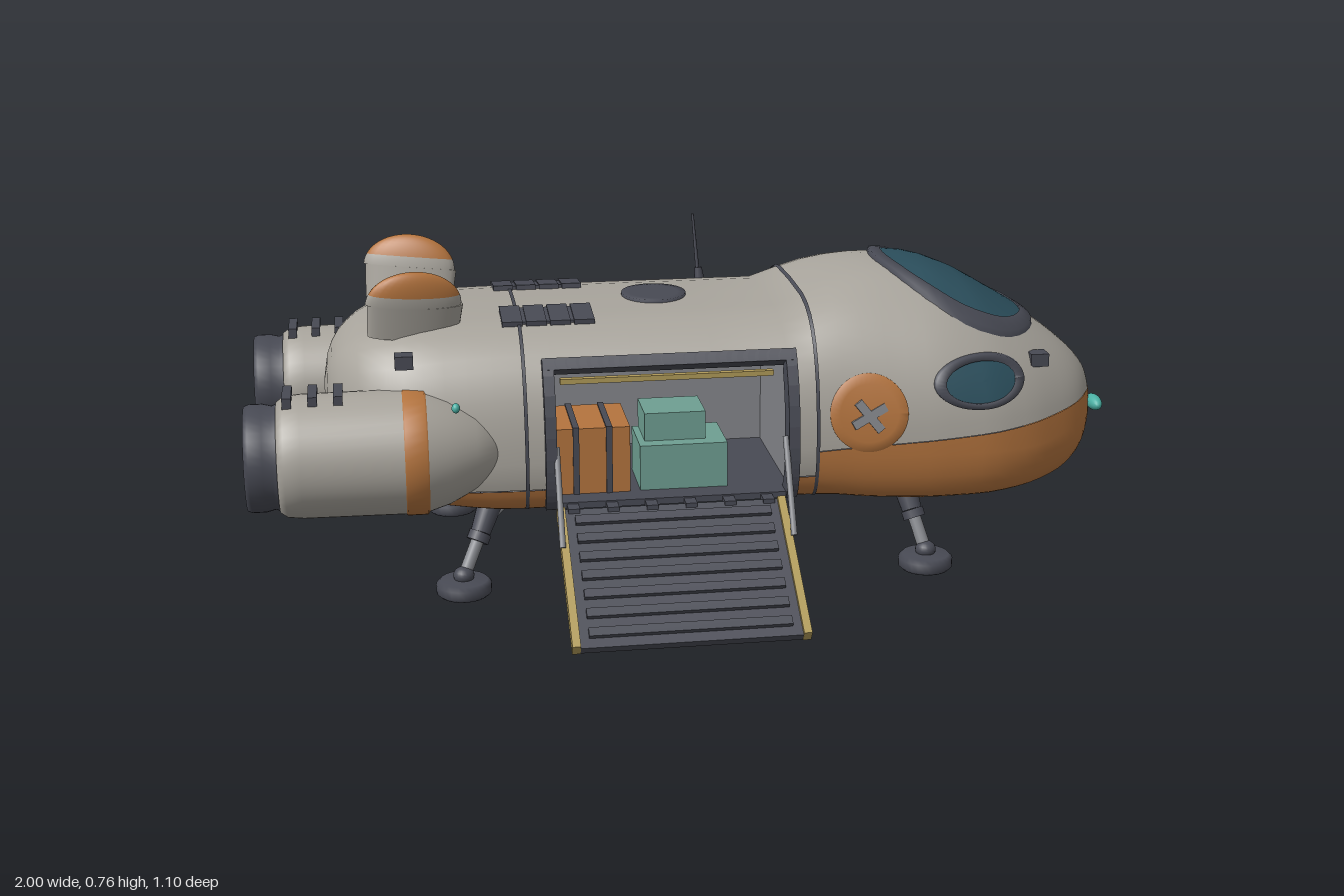
import * as THREE from 'three';

const mat = (color) => new THREE.MeshStandardMaterial({ color, side: THREE.DoubleSide });
const HULL = mat(0xa8a49c), ORANGE = mat(0xb4743e), DARK = mat(0x484a54), GLASS = mat(0x2c505e),
  TEAL = mat(0x4bb0a4), GOLD = mat(0xb09a58), STEEL = mat(0x85878c), CRATE = mat(0x6f9f92);
const ZC = -0.12; // hull centre line
const { lerp, clamp, smoothstep } = THREE.MathUtils;

// Hull stations: x, bottom, top, half width
const STATIONS = [
  [-0.83, 0.42, 0.435, 0.008], [-0.82, 0.35, 0.49, 0.12], [-0.79, 0.29, 0.54, 0.205], [-0.72, 0.25, 0.585, 0.285],
  [-0.6, 0.22, 0.607, 0.332], [-0.4, 0.2, 0.61, 0.345], [0.2, 0.2, 0.61, 0.345], [0.3, 0.197, 0.65, 0.347],
  [0.4, 0.188, 0.676, 0.356], [0.46, 0.185, 0.682, 0.361], [0.55, 0.183, 0.675, 0.368], [0.65, 0.184, 0.643, 0.366],
  [0.75, 0.19, 0.588, 0.342], [0.85, 0.205, 0.527, 0.285], [0.92, 0.235, 0.475, 0.22], [0.97, 0.28, 0.425, 0.13],
  [0.985, 0.31, 0.4, 0.075], [0.99, 0.345, 0.365, 0.012]];

function station(x) {
  const n = STATIONS.length;
  let i = 0;
  while (i < n - 2 && x > STATIONS[i + 1][0]) i++;
  const P = STATIONS[i], Q = STATIONS[i + 1], h = Q[0] - P[0], s = clamp((x - P[0]) / h, 0, 1);
  const slope = (k, c) => {
    const a = STATIONS[Math.max(k - 1, 0)], b = STATIONS[k], d = STATIONS[Math.min(k + 1, n - 1)];
    const l = a === b ? null : (b[c] - a[c]) / (b[0] - a[0]), r = d === b ? null : (d[c] - b[c]) / (d[0] - b[0]);
    if (l === null) return r;
    if (r === null) return l;
    return l * r <= 0 ? 0 : 2 * l * r / (l + r);
  };
  return [1, 2, 3].map((c) => P[c] * (1 + 2 * s) * (1 - s) ** 2 + Q[c] * s * s * (3 - 2 * s)
    + h * (slope(i, c) * s * (1 - s) ** 2 + slope(i + 1, c) * s * s * (s - 1)));
}

// Cross-section: t = -1 at the belly edge, 0 at the widest point, 1 on the ridge.
// The cargo section has squarer shoulders than the nose.
const roundness = (x) => lerp(0.47, 0.8, smoothstep(x, 0.22, 0.5));
const profile = (x, t) => t >= 0
  ? [Math.max(Math.cos(t * Math.PI / 2), 0) ** roundness(x), 0.3 + 0.7 * Math.sin(t * Math.PI / 2)]
  : [0.74 + 0.26 * Math.max(Math.cos(t * Math.PI / 2), 0) ** 0.6, 0.3 + 0.3 * Math.sin(t * Math.PI / 2)];
const tOf = (v) => (v > 0.3 ? Math.asin(Math.min((v - 0.3) / 0.7, 1)) : -Math.asin(Math.min((0.3 - v) / 0.3, 1))) * 2 / Math.PI;
function hullPoint(x, t, side, grow = 0) {
  const [b, top, hw] = station(x), [w, v] = profile(x, t);
  return [x, lerp(b, top, v) + grow * (v - 0.3), ZC + side * w * (hw + grow)];
}
function sideZ(x, y) { // half width at a height
  const [b, top, hw] = station(x);
  return hw * profile(x, tOf(clamp((y - b) / (top - b), 0, 1)))[0];
}
function roofY(x, dz) { // roof height at an offset from the centre line
  const [b, top, hw] = station(x), c = Math.min(Math.abs(dz) / hw, 1) ** (1 / roundness(x));
  return lerp(b, top, 0.3 + 0.7 * Math.sqrt(1 - c * c));
}
function beltT(x) { // top edge of the coloured belt
  const [b, top] = station(x);
  const y = x < 0.265 ? 0.26 : lerp(0.32, 0.374, (x - 0.265) / 0.72);
  return tOf(clamp((y - b) / (top - b), 0.08, 0.6));
}

function grid(nu, nv, fn, skip = () => false) {
  const pos = [], idx = [];
  for (let i = 0; i <= nu; i++) for (let j = 0; j <= nv; j++) pos.push(...fn(i, j));
  for (let i = 0; i < nu; i++) for (let j = 0; j < nv; j++) {
    if (skip(i, j)) continue;
    const a = i * (nv + 1) + j, b = a + nv + 1;
    idx.push(a, b, a + 1, b, b + 1, a + 1);
  }
  const g = new THREE.BufferGeometry();
  g.setAttribute('position', new THREE.Float32BufferAttribute(pos, 3));
  g.setIndex(idx);
  g.computeVertexNormals();
  return g;
}

export function createModel() {
  const root = new THREE.Group();
  const add = (name, geo, material, p = [0, 0, 0], parent = root) => {
    const m = new THREE.Mesh(geo, material);
    m.name = name;
    m.position.set(...p);
    parent.add(m);
    return m;
  };
  const box = (name, s, p, material, parent) => add(name, new THREE.BoxGeometry(...s), material, p, parent);
  const rod = (name, a, b, r0, r1, material) => {
    const A = new THREE.Vector3(...a), d = new THREE.Vector3(...b).sub(A);
    const m = add(name, new THREE.CylinderGeometry(r1, r0, d.length(), 14), material, A.clone().addScaledVector(d, 0.5).toArray());
    m.quaternion.setFromUnitVectors(new THREE.Vector3(0, 1, 0), d.normalize());
  };
  const ball = (name, p, s, material) => add(name, new THREE.SphereGeometry(1, 20, 12), material, p).scale.set(...s);

  // Hull shell with a doorway left open on the +z side
  const xs = [];
  for (let k = 0; k < 14; k++) xs.push(-0.83 + 0.43 * (k / 14) ** 2);
  xs.push(-0.4, -0.33, -0.15, 0.03, 0.2, 0.264, 0.266);
  for (let k = 1; k <= 26; k++) xs.push(0.99 - 0.724 * (1 - k / 26) ** 2);
  const nx = xs.length - 1, inDoor = (i) => xs[i] >= -0.331 && xs[i + 1] <= 0.201;
  add('upperHull', grid(nx, 32, (i, j) => {
    const s = 1 - Math.abs(j - 16) / 16;
    return hullPoint(xs[i], lerp(beltT(xs[i]), 1, s), j <= 16 ? 1 : -1);
  }, (i, j) => inDoor(i) && j < 10), HULL);
  for (const side of [1, -1]) add('hullBelt', grid(nx, 8, (i, j) =>
    hullPoint(xs[i], lerp(-1, beltT(xs[i]), side > 0 ? j / 8 : 1 - j / 8), side, 0.003),
  (i) => side > 0 && inDoor(i)), ORANGE);
  const underside = (i, j) => hullPoint(xs[i], -1, j - 1, 0.003).map((c, k) => (k === 2 && j === 1 ? ZC : c));
  add('belly', grid(nx, 2, underside, (i) => xs[i] > 0.88), DARK);
  add('chin', grid(nx, 2, underside, (i) => xs[i] <= 0.88), ORANGE);
  for (const x of [-0.39, 0.264]) add('hullSeam', grid(1, 40, (i, j) =>
    hullPoint(x + (i - 0.5) * 0.008, lerp(-0.9, 1, 1 - Math.abs(j - 20) / 20), j <= 20 ? 1 : -1, 0.005)), DARK);

  // Ellipses laid on the hull; rows are [radius factor, lift]
  const onRoof = (x, z, o) => [x, roofY(x, z) + o, ZC + z];
  const onSide = (side) => (x, y, o) => [x, y, ZC + side * (sideZ(x, y) + o)];
  const oval = (name, place, [cx, cy], [rx, ry], rows, material) => add(name, grid(rows.length - 1, 40, (i, j) => {
    const a = j / 40 * Math.PI * 2, [r, o] = rows[i];
    return place(cx + rx * r * Math.cos(a), cy + ry * r * Math.sin(a), o);
  }), material);
  const disc = (o) => [0, 0.25, 0.5, 0.75, 1].map((r) => [r, o]);
  const rim = (inner, o) => [[inner, 0], [inner, o], [1, o], [1.02, -0.005]];
  oval('windshield', onRoof, [0.652, 0], [0.165, 0.224], disc(0.007), GLASS);
  oval('windshieldFrame', onRoof, [0.652, 0], [0.19, 0.256], rim(0.86, 0.011), DARK);
  for (const side of [1, -1]) {
    oval('sideWindow', onSide(side), [0.64, 0.465], [0.088, 0.044], disc(0.009), GLASS);
    oval('sideWindowFrame', onSide(side), [0.64, 0.465], [0.11, 0.057], rim(0.78, 0.013), DARK);
  }
  oval('sideHatch', onSide(1), [0.38, 0.405], [0.088, 0.088], [...disc(0.004), [1.01, -0.005]], ORANGE);
  for (const turn of [0.5, -0.9]) box('hatchHandle', [0.085, 0.02, 0.01], [0.38, 0.4, ZC + sideZ(0.38, 0.4) + 0.004], STEEL).rotation.set(-0.15, 0, turn);
  oval('roofHatch', onRoof, [-0.06, -0.005], [0.075, 0.08], [...disc(0.006), [1.01, -0.005]], DARK);

  // Roof vents
  for (const dz of [-0.15, 0.14]) {
    const tilt = Math.atan2(roofY(0, dz - 0.04) - roofY(0, dz + 0.04), 0.08);
    for (let k = 0; k < 4; k++) box('roofVent', [0.046, 0.014, 0.105], [-0.405 + k * 0.054, roofY(-0.3, dz), ZC + dz], DARK).rotation.x = tilt;
    box('roofVentBase', [0.2, 0.01, 0.09], [-0.325, roofY(-0.3, dz) - 0.001, ZC + dz], DARK).rotation.x = tilt;
  }
  rod('antennaBase', [0.08, 0.58, -0.31], [0.076, 0.625, -0.313], 0.014, 0.009, DARK);
  rod('antenna', [0.076, 0.6, -0.312], [0.064, 0.755, -0.325], 0.005, 0.003, DARK);

  // Cargo bay and its contents
  box('bayFloor', [0.56, 0.015, 0.4], [-0.065, 0.216, 0.01], DARK);
  box('bayBackWall', [0.56, 0.31, 0.012], [-0.065, 0.37, -0.19], STEEL);
  box('bayCeiling', [0.56, 0.012, 0.33], [-0.065, 0.53, -0.03], STEEL);
  for (const x of [-0.345, 0.215]) box('bayWall', [0.012, 0.31, 0.33], [x, 0.37, -0.03], STEEL);
  box('bayLight', [0.48, 0.012, 0.015], [-0.07, 0.495, 0.17], GOLD);
  box('largeCrate', [0.165, 0.155, 0.18], [-0.235, 0.3, 0.065], ORANGE);
  for (const x of [-0.275, -0.2]) box('crateStrap', [0.014, 0.16, 0.187], [x, 0.301, 0.065], DARK);
  box('lowerCase', [0.2, 0.105, 0.15], [-0.03, 0.277, 0.08], CRATE);
  box('upperCase', [0.14, 0.065, 0.12], [-0.045, 0.362, 0.06], CRATE);

  // Door frame that follows the hull section
  const frame = (x0, x1, t0, t1) => {
    const pts = [];
    for (let k = 0; k <= 24; k++) {
      const out = k <= 12, t = lerp(t0, t1, (out ? k : 24 - k) / 12), p = hullPoint(0, t, 1, out ? 0.02 : -0.03);
      pts.push(new THREE.Vector2(-p[2], p[1]));
    }
    const g = new THREE.ExtrudeGeometry(new THREE.Shape(pts), { depth: x1 - x0, bevelEnabled: false });
    add('doorFrame', g.rotateY(Math.PI / 2), DARK, [x0, 0, 0]);
  };
  frame(-0.35, -0.325, -0.7, 0.55);
  frame(0.195, 0.22, -0.7, 0.55);
  frame(-0.35, 0.22, 0.48, 0.55);

  // Loading ramp, hinges and stays
  const ramp = new THREE.Group();
  ramp.name = 'ramp';
  ramp.position.set(-0.07, 0.113, 0.388);
  ramp.rotation.x = Math.atan2(0.2, 0.315);
  root.add(ramp);
  box('rampPlate', [0.51, 0.018, 0.37], [0, -0.004, 0], DARK, ramp);
  for (let k = 0; k < 7; k++) box('rampTread', [0.44, 0.012, 0.022], [0, 0.009, -0.15 + k * 0.05], DARK, ramp);
  for (const x of [-0.249, 0.249]) box('rampRail', [0.018, 0.027, 0.372], [x, 0, 0], GOLD, ramp);
  for (let k = 0; k < 6; k++) box('rampHinge', [0.026, 0.014, 0.06], [-0.29 + k * 0.088, 0.213, 0.215], DARK);
  for (const x of [-0.325, 0.19]) rod('rampStay', [x, 0.36, 0.225], [x, 0.165, 0.335], 0.007, 0.007, STEEL);

  // Engines
  const lathe = (name, pts, material, p) => add(name, new THREE.LatheGeometry(pts.map(([x, r]) => new THREE.Vector2(r, x)), 40).rotateZ(-Math.PI / 2), material, p);
  for (const side of [1, -1]) {
    const z = ZC + side * 0.288, p = [0, 0.349, z];
    lathe('engineBody', [[-0.93, 0.1], [-0.93, 0.122], [-0.915, 0.133], [-0.88, 0.137], [-0.65, 0.139]], HULL, p);
    lathe('engineBand', [[-0.66, 0.136], [-0.655, 0.142], [-0.61, 0.142], [-0.603, 0.13]], ORANGE, p);
    lathe('engineCowl', [[-0.61, 0.137], [-0.56, 0.121], [-0.5, 0.09], [-0.45, 0.052], [-0.425, 0]], HULL, p);
    lathe('nozzle', [[-0.925, 0.12], [-0.94, 0.114], [-0.96, 0.119], [-0.99, 0.119], [-1, 0.115], [-1, 0.096], [-0.95, 0.088]], DARK, p);
    lathe('nozzleGlow', [[-0.955, 0.092], [-0.95, 0.05], [-0.945, 0]], TEAL, p);
    for (let k = 0; k < 3; k++) box('engineFin', [0.02, 0.024, 0.1], [-0.905 + k * 0.055, 0.485, z], DARK);
    ball('engineLamp', [-0.545, 0.478, ZC + side * 0.4], [0.009, 0.011, 0.011], TEAL);

    // Tail fins with coloured tips and a foot that runs into the roof
    const fin = new THREE.Group();
    fin.name = 'tailFin';
    fin.position.set(-0.622, 0.655, ZC + side * 0.178);
    fin.rotation.set(side * 0.2, side * 0.15, -0.1);
    fin.scale.set(0.108, 0.077, 0.029);
    root.add(fin);
    add('finTip', new THREE.SphereGeometry(1, 28, 10, 0, Math.PI * 2, 0, 1.25), ORANGE, [0, 0, 0], fin);
    add('finBase', new THREE.SphereGeometry(1, 28, 6, 0, Math.PI * 2, 1.25, 0.32), HULL, [0, 0, 0], fin);
    add('finFoot', new THREE.CylinderGeometry(1, 0.95, 1, 28), HULL, [0.04, -0.5, 0], fin);

    // Sensors and nose lamps
    box('rearSensor', [0.04, 0.03, 0.04], [-0.65, 0.552, ZC + side * 0.275], DARK);
    box('frontSensor', [0.042, 0.03, 0.042], [0.8, 0.487, ZC + side * 0.245], DARK);
    ball('noseLamp', [0.981, 0.34, ZC + side * 0.137], [0.017, 0.018, 0.038], TEAL);

    // Landing legs
    for (const [fx, tx] of [[-0.535, -0.45], [0.54, 0.49]]) {
      const fz = ZC + side * 0.28, tz = ZC + side * 0.19, mid = [lerp(fx, tx, 0.5), 0.13, lerp(fz, tz, 0.45)];
      const foot = [[0, 0], [0.056, 0], [0.063, 0.007], [0.063, 0.026], [0.054, 0.035], [0, 0.038]];
      add('foot', new THREE.LatheGeometry(foot.map((q) => new THREE.Vector2(...q)), 24), DARK, [fx, 0, fz]);
      ball('ankle', [fx, 0.045, fz], [0.024, 0.02, 0.024], DARK);
      rod('lowerLeg', [fx, 0.04, fz], mid, 0.015, 0.015, STEEL);
      rod('legCollar', [lerp(fx, mid[0], 0.8), 0.112, lerp(fz, mid[2], 0.8)], mid, 0.026, 0.026, DARK);
      rod('upperLeg', mid, [tx, 0.23, tz], 0.023, 0.032, DARK);
      rod('legBrace', [mid[0], 0.14, mid[2]], [tx + Math.sign(tx) * -0.05, 0.21, tz], 0.008, 0.008, STEEL);
    }
  }
  return root;
}
